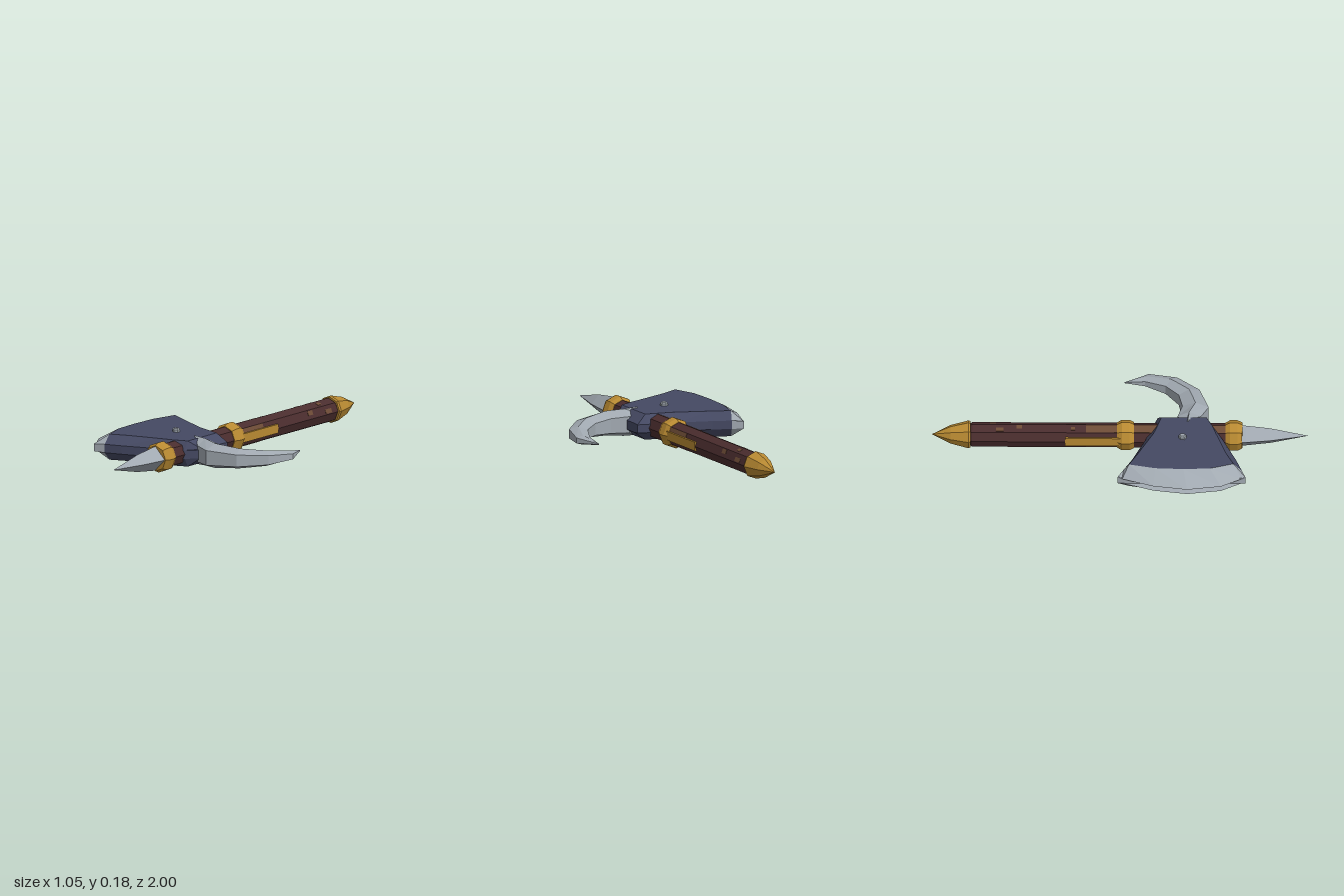
import * as THREE from 'three';

const AX = -0.01, AY = 0.095; // centre line of the shaft

const material = (name, color) => {
  const m = new THREE.MeshStandardMaterial({ color, flatShading: true });
  m.name = name;
  return m;
};

// Joins equal-length rings of [x, y, z] points, caps both ends and faces outward.
function loft(rings) {
  const pos = [];
  let volume = 0;
  const tri = (a, b, c) => {
    pos.push([a, b, c]);
    const [A, B, C] = [a, b, c].map((p) => new THREE.Vector3(p[0], p[1] - AY, p[2]));
    volume += A.dot(B.cross(C));
  };
  const n = rings[0].length;
  for (let r = 0; r < rings.length - 1; r++) {
    for (let i = 0; i < n; i++) {
      const j = (i + 1) % n, p = rings[r], q = rings[r + 1];
      tri(p[i], p[j], q[j]);
      tri(p[i], q[j], q[i]);
    }
  }
  const cap = (ring, flip) => {
    const mid = [0, 1, 2].map((k) => ring.reduce((s, p) => s + p[k], 0) / n);
    for (let i = 0; i < n; i++) {
      const a = ring[i], b = ring[(i + 1) % n];
      flip ? tri(mid, b, a) : tri(mid, a, b);
    }
  };
  cap(rings[0], true);
  cap(rings[rings.length - 1], false);
  const flat = pos.flatMap((t) => (volume < 0 ? [t[0], t[2], t[1]] : t)).flat();
  const g = new THREE.BufferGeometry();
  g.setAttribute('position', new THREE.Float32BufferAttribute(flat, 3));
  g.computeVertexNormals();
  return g;
}

// Faceted turned part along z from [radius, z] pairs, z ascending.
function turned(profile, sides = 8) {
  const g = new THREE.LatheGeometry(profile.map(([r, z]) => new THREE.Vector2(r, z)), sides);
  return g.rotateX(Math.PI / 2).translate(AX, AY, 0);
}

// Blade section: a flat face above and below, bevelled towards both z ends.
// xs and zs hold five points across the face; outer is [x, zBack, zFront].
function bladeRing(xs, zs, outer, half, rim = 0.023) {
  const [ox, z0, z1] = outer;
  const face = zs.map((z, i) => [xs[i], z]);
  return [
    ...face.map(([x, z]) => [x, AY + half, z]),
    [ox, AY + rim, z1], [ox, AY - rim, z1],
    ...face.reverse().map(([x, z]) => [x, AY - half, z]),
    [ox, AY - rim, z0], [ox, AY + rim, z0],
  ];
}

export function createModel() {
  const group = new THREE.Group();
  const wood = material('dark wood', 0x4a2d2e);
  const worn = material('worn wood', 0x6e4c36);
  const gold = material('gold', 0xb98a32);
  const iron = material('blue iron', 0x454963);
  const steel = material('steel', 0xa1a9b1);
  const add = (name, geometry, mat) => {
    const mesh = new THREE.Mesh(geometry, mat);
    mesh.name = name;
    group.add(mesh);
    return mesh;
  };

  // Shaft
  add('shaft', turned([[0, -0.81], [0.056, -0.81], [0.056, -0.8], [0.066, -0.785], [0.066, 0.63], [0, 0.63]]), wood);

  // Worn patches: [facet, zStart, zEnd, offset across facet, width]
  const patches = [
    [2, -0.18, 0.22, 0, 0.048], [2, 0.47, 0.58, 0, 0.048],
    [0, -0.18, 0.06, 0.012, 0.024], [4, -0.18, 0.06, 0, 0.03],
    [6, -0.18, 0.22, 0, 0.048], [6, 0.47, 0.58, 0, 0.048],
    [2, -0.66, -0.62, 0.006, 0.024], [1, -0.69, -0.66, 0, 0.02],
    [2, -0.55, -0.52, -0.01, 0.02], [2, -0.26, -0.24, 0, 0.02],
    [0, -0.59, -0.55, 0.008, 0.024], [0, -0.74, -0.69, -0.008, 0.024],
  ];
  for (const [facet, z0, z1, off, width] of patches) {
    const a = (facet + 0.5) * Math.PI / 4;
    const g = new THREE.BoxGeometry(0.004, width, z1 - z0);
    g.translate(0.0605, off, (z0 + z1) / 2).rotateZ(a).translate(AX, AY, 0);
    add('wornPatch', g, worn);
  }

  // Gold fittings
  add('pommel', turned([[0, -1], [0.05, -0.9], [0.075, -0.805], [0.07, -0.795], [0, -0.795]]), gold);
  for (const z of [-0.015, 0.56]) {
    add('collar', turned([[0, z], [0.068, z], [0.082, z + 0.025], [0.082, z + 0.065], [0.07, z + 0.09], [0, z + 0.09]]), gold);
  }
  for (const s of [-1, 1]) {
    add('sidePlate', new THREE.BoxGeometry(0.016, 0.048, 0.295).translate(AX + s * 0.06, AY, -0.143), gold);
  }

  // Front spike
  add('spike', turned([[0, 0.64], [0.065, 0.64], [0.064, 0.67], [0.047, 0.8], [0, 1]], 4), steel);

  // Blade body: [x, face zBack, face zFront, rim zBack, rim zFront, half height]
  const sections = [
    [0.114, 0.23, 0.41, 0.2, 0.43, 0.025],
    [0.055, 0.22, 0.46, 0.18, 0.485, 0.07],
    [-0.02, 0.2, 0.49, 0.155, 0.52, 0.07],
    [-0.09, 0.18, 0.51, 0.135, 0.55, 0.07],
    [-0.27, 0.1, 0.565, 0.065, 0.62, 0.07],
  ].map(([x, a, b, c, d, h]) => bladeRing(
    Array(5).fill(x), [0, 1, 2, 3, 4].map((i) => a + (b - a) * i / 4), [x, c, d], h));
  const seam = bladeRing([-0.375, -0.408, -0.415, -0.408, -0.365], [0.05, 0.19, 0.34, 0.48, 0.605], [-0.362, 0.02, 0.65], 0.07);
  add('bladeBody', loft([...sections, seam]), iron);

  // Cutting edge
  const edge = bladeRing([-0.43, -0.495, -0.525, -0.495, -0.425], [0.015, 0.18, 0.36, 0.54, 0.65], [-0.42, -0.01, 0.67], 0.014, 0.02);
  add('cuttingEdge', loft([seam, edge]), steel);

  // Rivets through the blade
  for (const s of [-1, 1]) {
    const r = new THREE.CylinderGeometry(0.014, 0.021, 0.008, 6).translate(0, 0.086, 0);
    const base = new THREE.CylinderGeometry(0.021, 0.021, 0.03, 6).translate(0, 0.067, 0);
    for (const g of [r, base]) {
      if (s < 0) g.rotateX(Math.PI);
      add('rivet', g.translate(-0.13, AY, 0.333), steel);
    }
  }

  // Curved horn: [outer x, outer z, inner x, inner z, ridge half height]
  const horn = [
    [0.02, 0.375, 0.02, 0.345, 0.077],
    [0.1, 0.43, 0.1, 0.305, 0.074],
    [0.19, 0.47, 0.2, 0.33, 0.067],
    [0.36, 0.42, 0.31, 0.31, 0.054],
    [0.48, 0.3, 0.4, 0.24, 0.042],
    [0.525, 0.15, 0.455, 0.13, 0.025],
    [0.466, 0.02, 0.464, 0.02, 0.003],
  ].map(([ox, oz, ix, iz, h]) => {
    const mx = (ox + ix) / 2, mz = (oz + iz) / 2, e = h * 0.6;
    return [[mx, AY + h, mz], [ox, AY + e, oz], [ox, AY - e, oz],
      [mx, AY - h, mz], [ix, AY - e, iz], [ix, AY + e, iz]];
  });
  add('horn', loft(horn), steel);

  return group;
}
